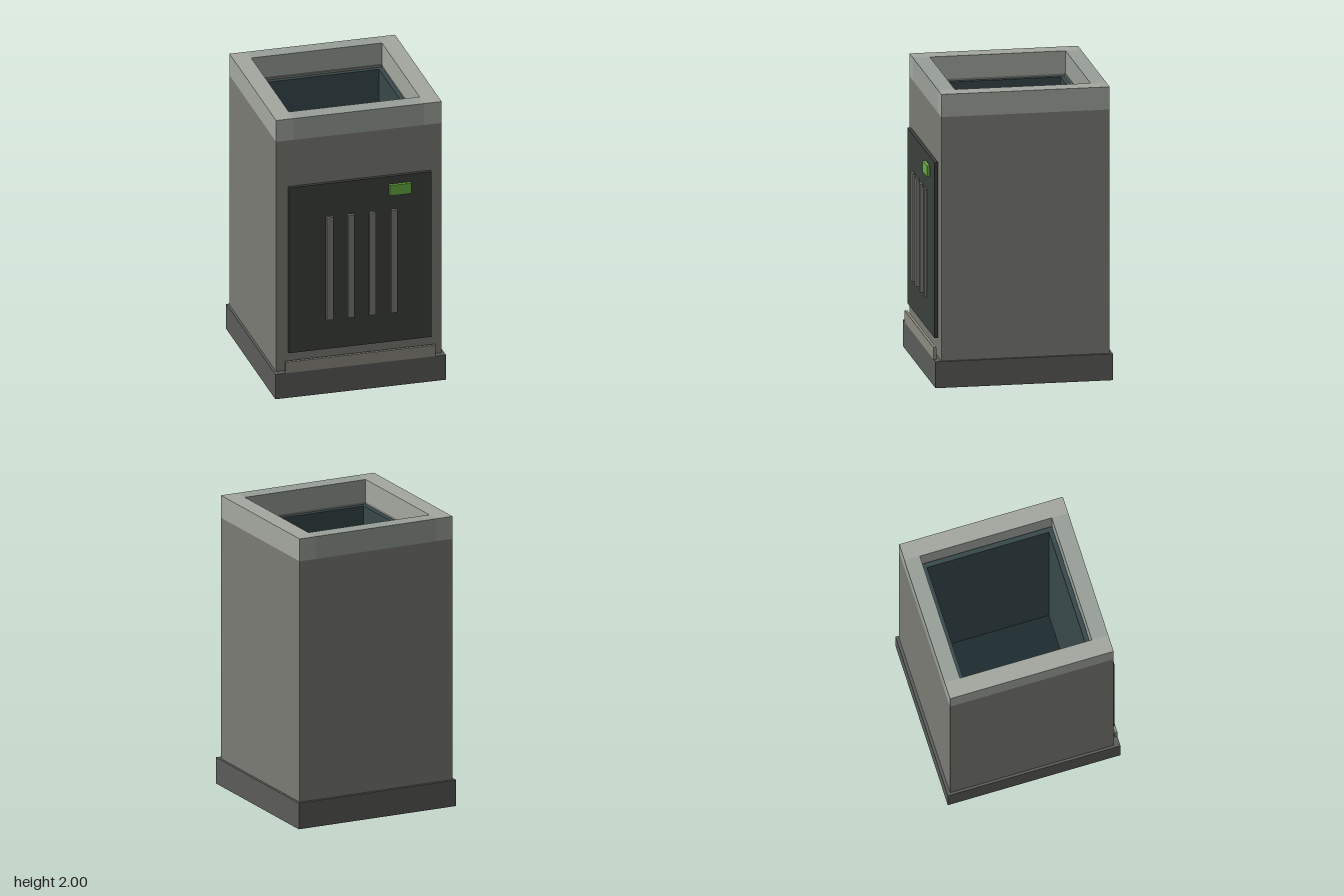
import * as THREE from 'three';

const paint = (color) => new THREE.MeshStandardMaterial({ color });
const casing = paint(0x7b7b74), rimSide = paint(0xa3a8a0), rimEnd = paint(0x99a098);
const plinth = paint(0x5b5d5a), dark = paint(0x3c403c), strip = paint(0x8c8b80);
const lining = paint(0x38484b), well = paint(0x1e2c30), green = paint(0x68ad45);

// Box given by its extents along each axis
function block(parent, name, material, [x0, x1], [y0, y1], [z0, z1]) {
  const mesh = new THREE.Mesh(new THREE.BoxGeometry(x1 - x0, y1 - y0, z1 - z0), material);
  mesh.position.set((x0 + x1) / 2, (y0 + y1) / 2, (z0 + z1) / 2);
  mesh.name = name;
  parent.add(mesh);
}

// Open square frame: full-depth sides, with front and back fitted between them
function frame(parent, name, sideMat, endMat, outX, inX, y, outZ, inZ) {
  const group = new THREE.Group();
  group.name = name;
  block(group, name + 'Left', sideMat, [inX, outX], y, outZ);
  block(group, name + 'Right', sideMat, [-outX, -inX], y, outZ);
  block(group, name + 'Back', endMat, [-inX, inX], y, [outZ[0], inZ[0]]);
  block(group, name + 'Front', endMat, [-inX, inX], y, [inZ[1], outZ[1]]);
  parent.add(group);
}

export function createModel() {
  const bin = new THREE.Group();
  bin.name = 'squareBin';

  // Plinth, hollow casing and top rim
  block(bin, 'base', plinth, [-0.587, 0.587], [0, 0.18], [-0.605, 0.592]);
  const shell = [-0.585, 0.55];
  frame(bin, 'casing', casing, casing, 0.57, 0.45, [0.18, 1.845], shell, [-0.471, 0.439]);
  frame(bin, 'rim', rimSide, rimEnd, 0.57, 0.45, [1.845, 2], shell, [-0.479, 0.436]);

  // Inner bucket
  frame(bin, 'liner', lining, lining, 0.45, 0.418, [0.18, 1.83], [-0.471, 0.439], [-0.439, 0.406]);
  block(bin, 'linerFloor', well, [-0.418, 0.418], [0.18, 0.22], [-0.439, 0.406]);

  // Front service door with ribs, label plate and kick strip
  block(bin, 'door', dark, [-0.49, 0.49], [0.317, 1.515], [0.556, 0.58]);
  for (let i = 0; i < 4; i++) {
    const x = -0.214 + i * 0.1475;
    block(bin, 'doorRib' + (i + 1), casing, [x - 0.022, x + 0.022], [0.535, 1.277], [0.585, 0.606]);
  }
  block(bin, 'labelPlate', green, [0.197, 0.348], [1.385, 1.46], [0.585, 0.606]);
  block(bin, 'kickStrip', strip, [-0.517, 0.517], [0.18, 0.26], [0.574, 0.593]);

  return bin;
}
